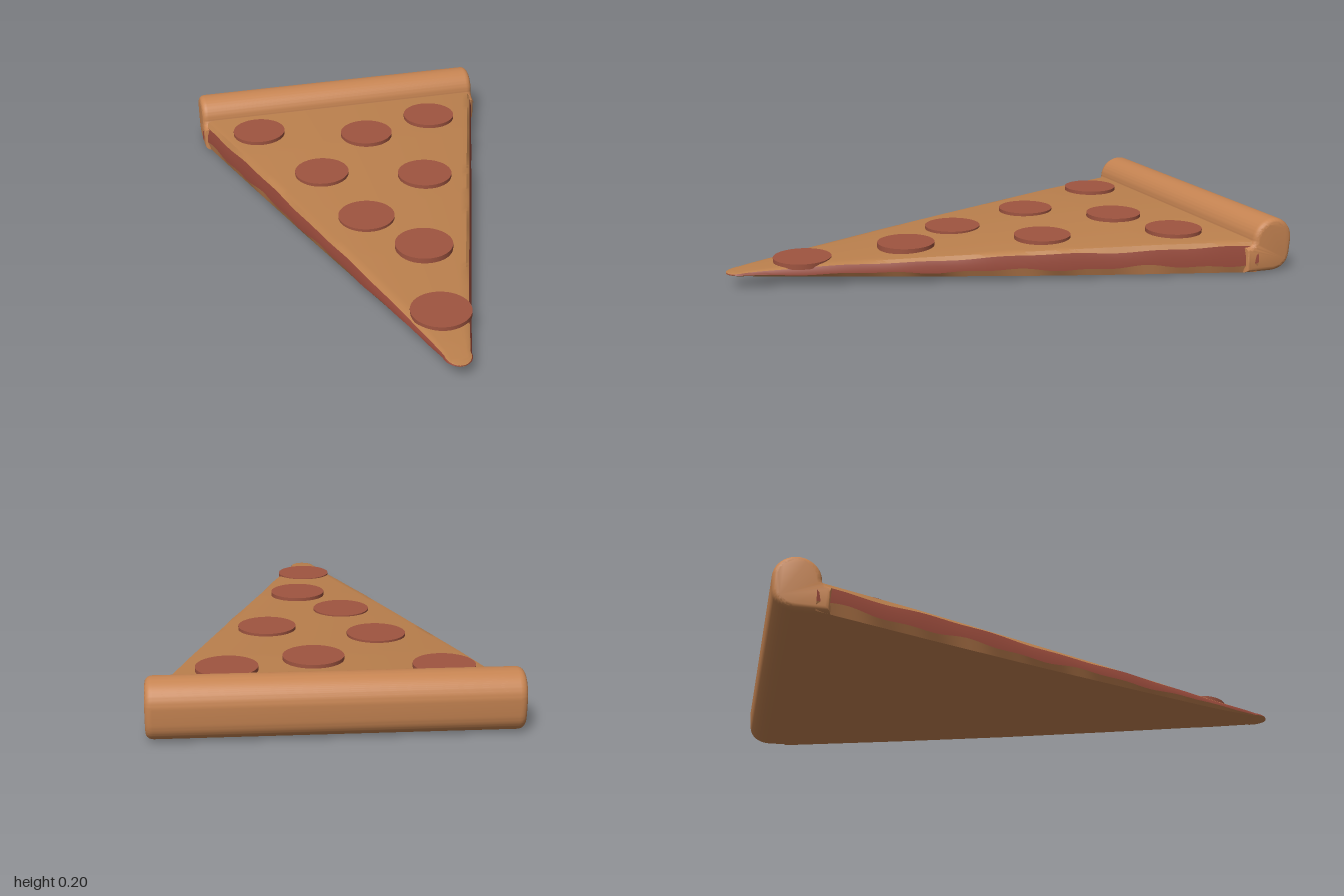
import * as THREE from 'three';
import { toCreasedNormals } from 'three/addons/utils/BufferGeometryUtils.js';

const material = (name, color) => new THREE.MeshStandardMaterial({ name, color });

// Piecewise-linear lookup through [z, value] pairs
function lookup(pairs, z) {
  for (let i = 1; i < pairs.length; i++) {
    const [z0, v0] = pairs[i - 1], [z1, v1] = pairs[i];
    if (z <= z1) return v0 + (v1 - v0) * (z - z0) / (z1 - z0);
  }
  return pairs[pairs.length - 1][1];
}

const topHeight = z => lookup([[-0.9, 0.124], [-0.5, 0.121], [0, 0.107], [0.33, 0.096], [0.72, 0.079], [0.9, 0.066], [1, 0.055]], z);
const bottomHeight = z => lookup([[-0.9, 0.003], [-0.4, 0.008], [0, 0.015], [0.4, 0.026], [0.8, 0.039], [1, 0.05]], z);

// Half width of the wedge, rounded off at the tip
function halfWidth(z) {
  if (z < 0.94) return 0.6 - 0.313 * (z + 0.82);
  return 0.05 * Math.sqrt(Math.max(0, 1 - ((z - 0.94) / 0.06) ** 2));
}

// Outline of one side, from the bottom edge up to the flat of the cheese
function sideProfile(z, side) {
  const w = halfWidth(z), b = bottomHeight(z), h = topHeight(z) - b;
  const k = Math.min(1, w / 0.12);
  const shift = -0.015 * Math.max(0, (z + 0.8) / 1.8);
  const waveLow = 0.27 + 0.05 * Math.sin(z * 13 + side) + 0.035 * Math.sin(z * 29 + side * 2);
  const waveHigh = 0.82 + 0.035 * Math.sin(z * 9 + side * 2) + 0.02 * Math.sin(z * 23);
  const at = (inset, f) => [side * (w - inset * k) + shift, b + h * f];
  return {
    bottom: at(0.012, 0), doughTop: at(0, waveLow), sauceMid: at(0.002, 0.55),
    sauceTop: at(0.01, waveHigh), cheeseEdge: at(0.022, 0.96), cheeseTop: at(0.045, 1),
  };
}

// Surface through a cross-section path repeated along z
function loft(path, crease) {
  const zs = [];
  for (let i = 0; i <= 80; i++) zs.push(-0.85 + 1.79 * i / 80);
  for (let i = 1; i <= 8; i++) zs.push(0.94 + 0.06 * Math.sin(i * Math.PI / 16));
  const positions = [], index = [];
  let n = 0;
  zs.forEach((z, r) => {
    const points = path(sideProfile(z, -1), sideProfile(z, 1));
    n = points.length;
    points.forEach(([x, y]) => positions.push(x, y, z));
    if (r === 0) return;
    for (let j = 0; j < n - 1; j++) {
      const a = (r - 1) * n + j, c = r * n + j;
      index.push(a, c, a + 1, a + 1, c, c + 1);
    }
  });
  const geometry = new THREE.BufferGeometry();
  geometry.setAttribute('position', new THREE.Float32BufferAttribute(positions, 3));
  geometry.setIndex(index);
  geometry.computeVertexNormals();
  return toCreasedNormals(geometry, crease);
}

export function createModel() {
  const model = new THREE.Group();
  model.name = 'pizzaSlice';
  const crustMat = material('bakedCrust', 0xc68452);
  const cheeseMat = material('cheese', 0xbb804d);
  const sauceMat = material('tomatoSauce', 0x96493a);
  const pepperoniMat = material('pepperoni', 0x9f5440);

  const add = (name, geometry, mat) => {
    const mesh = new THREE.Mesh(geometry, mat);
    mesh.name = name;
    model.add(mesh);
    return mesh;
  };

  // Wedge layers
  add('doughBase', loft((l, r) => [r.doughTop, r.bottom, l.bottom, l.doughTop], 0.6), crustMat);
  add('sauceLeft', loft((l, r) => [r.sauceTop, r.sauceMid, r.doughTop], 0.9), sauceMat);
  add('sauceRight', loft((l) => [l.doughTop, l.sauceMid, l.sauceTop], 0.9), sauceMat);
  add('cheeseLayer', loft((l, r) => [l.sauceTop, l.cheeseEdge, l.cheeseTop, r.cheeseTop, r.cheeseEdge, r.sauceTop], 0.6), cheeseMat);

  // Rolled crust along the back, profile drawn with x pointing backwards
  const profile = new THREE.Shape();
  profile.moveTo(0.8, 0.004);
  profile.lineTo(0.92, 0);
  profile.quadraticCurveTo(0.99, 0.004, 0.996, 0.07);
  profile.lineTo(1, 0.12);
  profile.absarc(0.917, 0.12, 0.083, 0, Math.PI, false);
  profile.quadraticCurveTo(0.83, 0.105, 0.8, 0.1);
  profile.closePath();
  const crust = new THREE.ExtrudeGeometry(profile, {
    depth: 1.16, curveSegments: 20, bevelEnabled: true,
    bevelThickness: 0.025, bevelSize: 0.02, bevelOffset: -0.02, bevelSegments: 5,
  });
  crust.translate(0, 0, -0.58);
  crust.rotateY(Math.PI / 2);
  add('crustRoll', toCreasedNormals(crust, 0.7), crustMat);

  // Pepperoni discs: x, z, height of the upper face
  const discs = [
    [-0.39, -0.67, 0.136], [0.045, -0.545, 0.135], [0.345, -0.64, 0.136], [-0.205, -0.275, 0.125],
    [0.19, -0.16, 0.124], [-0.11, 0.085, 0.112], [0.045, 0.335, 0.112], [-0.005, 0.72, 0.086],
  ];
  const disc = new THREE.CylinderGeometry(0.107, 0.107, 0.02, 40);
  discs.forEach(([x, z, y], i) => {
    add('pepperoni' + (i + 1), disc, pepperoniMat).position.set(x, y - 0.01, z);
  });

  return model;
}
